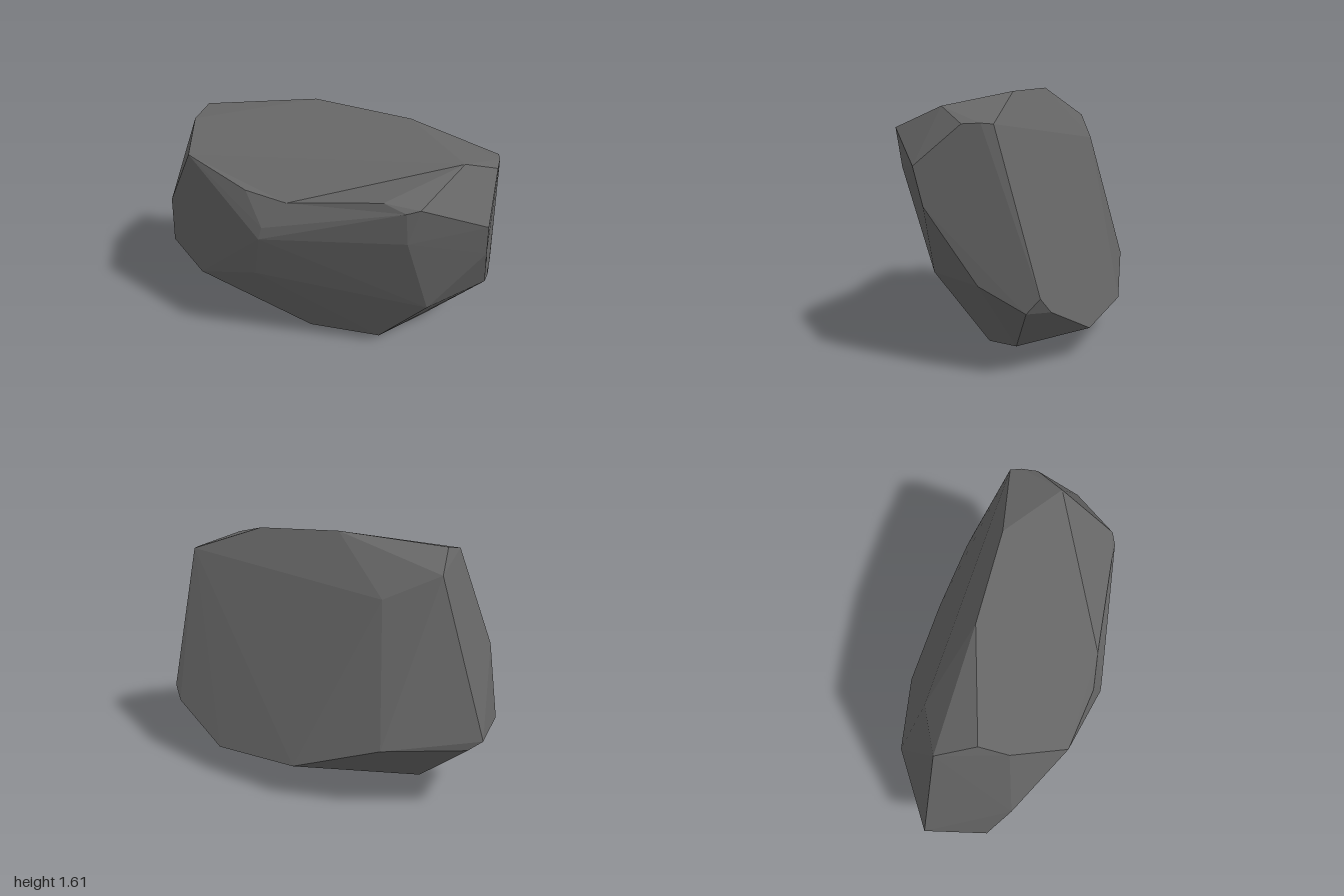
import * as THREE from 'three';
import { ConvexGeometry } from 'three/addons/geometries/ConvexGeometry.js';

const v = ([x, y, z]) => new THREE.Vector3(x, y, z);

// Corners of the boulder, grouped by area
const crown = [
  [-0.64, 1.54, -0.52], [-0.06, 1.61, -0.15], [0.35, 1.59, 0.31],
  [0.42, 1.51, 0.80], [-0.77, 1.515, -0.40], [-0.91, 1.44, -0.10],
  [-0.52, 1.41, -0.74], [-0.20, 1.26, -0.61],
];
const frontEnd = [
  [0.66, 1.42, 0.79], [0.73, 1.425, 0.71], [0.765, 1.42, 0.65],
  [0.48, 1.19, 1.0], [0.06, 1.38, 0.94], [-0.01, 1.36, 0.91], [-0.10, 1.40, 0.81],
  [0.52, 0.97, 0.96], [0.72, 0.54, 0.73], [0.90, 0.40, 0.53],
  [0.95, 0.49, 0.47], [0.93, 0.40, 0.39], [0.25, 0.53, 0.79], [0.02, 1.14, 0.89],
];
const leftFlank = [
  [-0.69, 1.33, 0.25], [-0.65, 1.13, 0.37], [-0.67, 1.05, 0.36],
  [-0.65, 0.69, 0.20], [-0.83, 0.33, -0.43], [-0.30, 0.33, 0.18], [-0.42, 0.40, 0.14],
];
const backEnd = [
  [-0.96, 0.92, -0.50], [-0.94, 0.49, -0.67], [-0.74, 0.46, -0.92],
  [-0.70, 0.48, -1.0], [-0.62, 0.42, -0.97], [-0.13, 0.41, -0.84],
];
const rightFlank = [[0.40, 0.69, -0.14], [0.71, 0.19, -0.01], [0.32, 0.22, -0.50]];
const base = [
  [0.15, 0.01, 0.38], [-0.22, 0, 0.06], [-0.53, 0.05, -0.46],
  [-0.62, 0.12, -0.50], [0.51, 0.08, 0.38],
];

// A rim corner that is pressed in after the hull is wrapped
const rim = v([-0.50, 1.40, 0.47]);
const dent = v([-0.51, 1.29, 0.42]);

export function createModel() {
  const corners = [...crown, ...frontEnd, ...leftFlank, ...backEnd, ...rightFlank, ...base].map(v);
  const geometry = new ConvexGeometry([...corners, rim]);

  // Press the rim corner inwards
  const pos = geometry.attributes.position;
  const p = new THREE.Vector3();
  for (let i = 0; i < pos.count; i++) {
    p.fromBufferAttribute(pos, i);
    if (p.distanceTo(rim) < 1e-4) pos.setXYZ(i, dent.x, dent.y, dent.z);
  }
  geometry.computeVertexNormals();

  const boulder = new THREE.Mesh(
    geometry,
    new THREE.MeshStandardMaterial({ color: 0x666666, flatShading: true })
  );
  boulder.name = 'boulder';

  const group = new THREE.Group();
  group.name = 'rock';
  group.add(boulder);
  return group;
}
